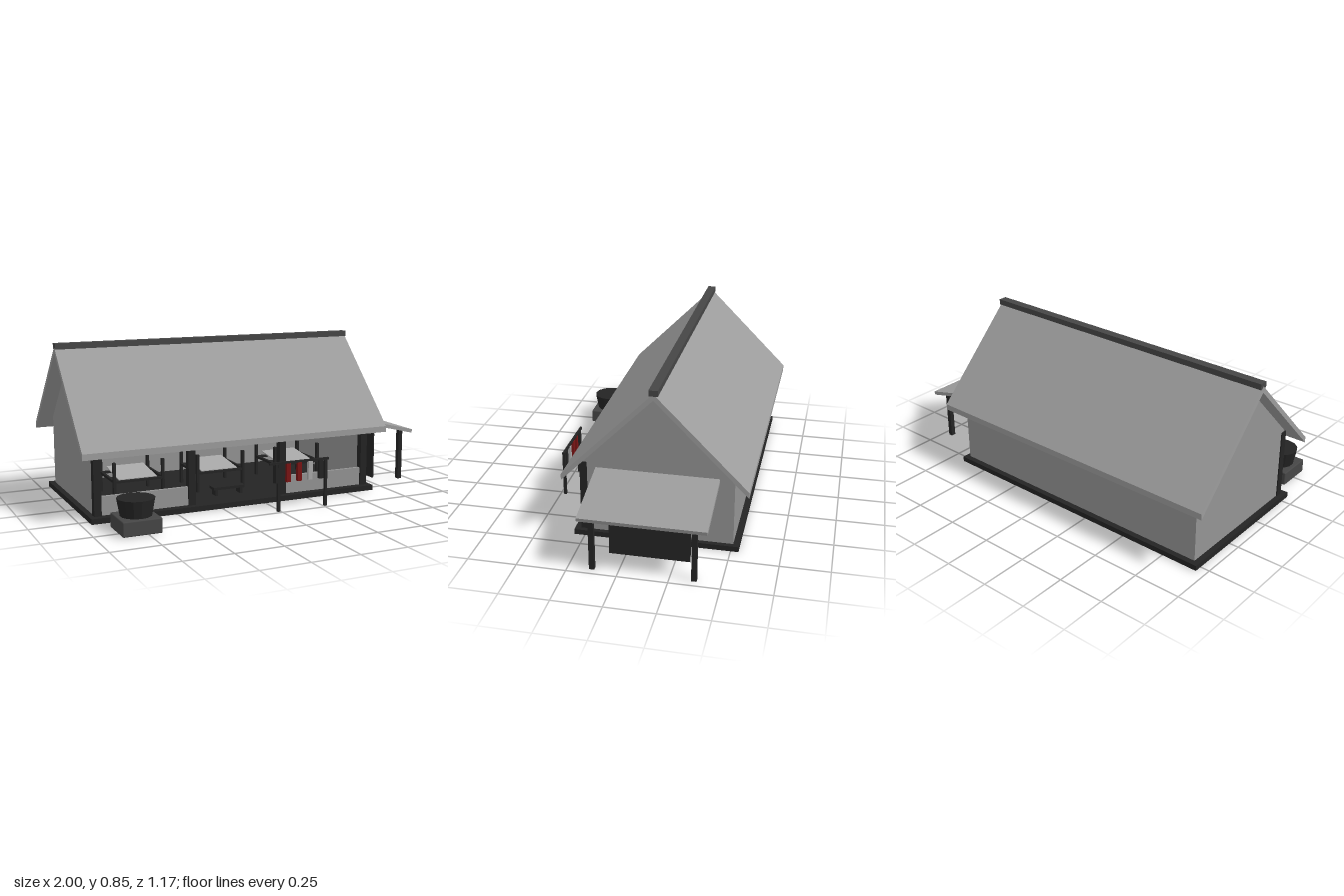
import * as THREE from 'three';
import { RoundedBoxGeometry } from 'three/addons/geometries/RoundedBoxGeometry.js';

const mat = (name, color, side = THREE.FrontSide) => {
  const m = new THREE.MeshStandardMaterial({ color, side });
  m.name = name;
  return m;
};

export function createModel() {
  const model = new THREE.Group();
  model.name = 'weavingHouse';
  const roofGrey = mat('roof grey', 0x9c9c9c);
  const wallGrey = mat('wall grey', 0x949494);
  const wood = mat('dark wood', 0x242424);
  const stone = mat('dark stone', 0x464646);
  const red = mat('red cloth', 0x7a1414);
  const pale = mat('pale cloth', 0xa8a8a8);

  const add = (name, geometry, material, parent = model) => {
    const mesh = new THREE.Mesh(geometry, material);
    mesh.name = name;
    parent.add(mesh);
    return mesh;
  };
  // Box given by its low and high limits on each axis
  const box = (name, material, [x0, x1], [y0, y1], [z0, z1], parent = model) => {
    const mesh = add(name, new THREE.BoxGeometry(x1 - x0, y1 - y0, z1 - z0), material, parent);
    mesh.position.set((x0 + x1) / 2, (y0 + y1) / 2, (z0 + z1) / 2);
    return mesh;
  };
  // Outline in (z, y), extruded along x from x0 to x1
  const prism = (name, material, points, x0, x1) => {
    const shape = new THREE.Shape(points.map(([z, y]) => new THREE.Vector2(-z, y)));
    const geo = new THREE.ExtrudeGeometry(shape, { depth: x1 - x0, bevelEnabled: false });
    geo.rotateY(Math.PI / 2).translate(x0, 0, 0);
    return add(name, geo, material);
  };

  // Floor and walls
  box('floor', wood, [-0.95, 0.665], [0, 0.028], [-0.54, 0.305]);
  box('backWall', wallGrey, [-0.92, 0.64], [0.028, 0.405], [-0.51, -0.49]);
  for (const [x0, x1] of [[-0.92, -0.9], [0.62, 0.64]]) {
    box('sideWall', wallGrey, [x0, x1], [0.028, 0.405], [-0.49, 0.236]);
    prism('gable', wallGrey, [[0.272, 0.405], [-0.12, 0.8], [-0.51, 0.405]], x0, x1);
  }

  // Front posts and the low panels of the outer bays
  for (const x of [-0.907, -0.405, 0.117, 0.622])
    box('frontPost', wood, [x - 0.019, x + 0.019], [0.028, 0.408], [0.235, 0.273]);
  for (const [x0, x1] of [[-0.888, -0.424], [0.136, 0.603]])
    box('frontPanel', wallGrey, [x0, x1], [0.028, 0.125], [0.245, 0.262]);
  box('frontBeam', wood, [-0.9, 0.62], [0.372, 0.404], [0.24, 0.268]);

  // Main roof
  prism('roof', roofGrey, [
    [0.348, 0.333], [0.348, 0.365], [-0.12, 0.834],
    [-0.588, 0.365], [-0.588, 0.333], [-0.12, 0.801],
  ], -1, 0.715);
  box('ridgeCap', stone, [-1, 0.716], [0.822, 0.852], [-0.143, -0.098]);

  // Side lean-to
  const leanTo = new THREE.Group();
  leanTo.name = 'leanTo';
  model.add(leanTo);
  const slope = Math.atan2(0.09, 0.37);
  const shed = add('leanToRoof', new THREE.BoxGeometry(0.38, 0.02, 0.625), roofGrey, leanTo);
  shed.position.set(0.813, 0.331, -0.1225);
  shed.rotation.z = -slope;
  for (const z of [0.131, -0.369])
    box('leanToPost', wood, [0.94, 0.964], [0, 0.287], [z - 0.013, z + 0.013], leanTo);
  box('hangingScreen', wood, [0.805, 0.812], [0.005, 0.268], [-0.325, 0.083], leanTo);

  // Three looms, each with a bench
  for (const x of [-0.613, -0.145, 0.323]) {
    const loom = new THREE.Group();
    loom.name = 'loom';
    loom.position.x = x;
    model.add(loom);
    for (const s of [-1, 1]) {
      const px = s * 0.134;
      for (const z of [-0.2, 0.04])
        box('loomPost', wood, [px - 0.007, px + 0.007], [0.028, 0.235], [z - 0.01, z + 0.01], loom);
      box('loomRail', wood, [px - 0.007, px + 0.007], [0.128, 0.142], [-0.19, 0.03], loom);
    }
    for (const z of [-0.2, 0.04])
      box('loomBeam', wood, [-0.127, 0.127], [0.126, 0.138], [z - 0.008, z + 0.008], loom);
    const warp = box('warp', pale, [-0.105, 0.105], [0.148, 0.154], [-0.19, 0.03], loom);
    warp.rotation.x = 0.12;
    box('benchSeat', wood, [-0.09, 0.09], [0.06, 0.074], [0.1, 0.16], loom);
    for (const s of [-0.072, 0.072])
      box('benchLeg', wood, [s - 0.007, s + 0.007], [0.028, 0.06], [0.105, 0.155], loom);
  }

  // Drying rack with hanging cloths
  const rack = new THREE.Group();
  rack.name = 'dryingRack';
  model.add(rack);
  for (const x of [-0.012, 0.262])
    box('rackPost', wood, [x - 0.007, x + 0.007], [0, 0.25], [0.468, 0.483], rack);
  box('rackBar', wood, [-0.063, 0.28], [0.246, 0.258], [0.467, 0.479], rack);
  [wood, red, red, pale, wood].forEach((cloth, i) => {
    const x = -0.02 + i * 0.0635;
    box('cloth', cloth, [x - 0.012, x + 0.012], [0.15, 0.248], [0.464, 0.482], rack);
  });

  // Vat on a stone hearth
  const vat = new THREE.Group();
  vat.name = 'vat';
  vat.position.set(-0.783, 0, 0.488);
  model.add(vat);
  add('hearth', new RoundedBoxGeometry(0.198, 0.075, 0.198, 2, 0.006), stone, vat).position.y = 0.041;
  const tub = new THREE.CylinderGeometry(0.094, 0.078, 0.088, 14).toNonIndexed();
  tub.computeVertexNormals();
  add('tub', tub, wood, vat).position.y = 0.122;

  return model;
}
